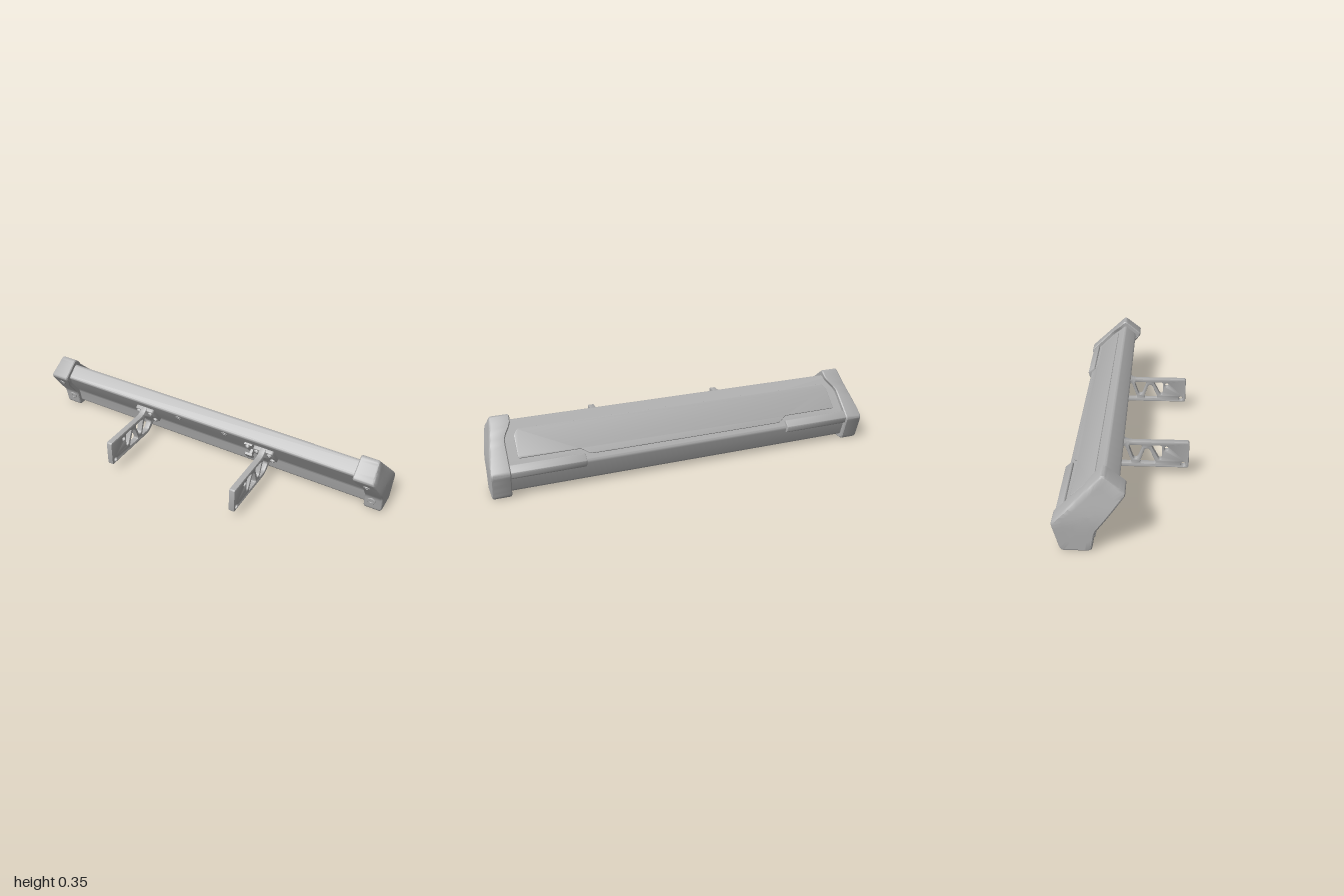
import * as THREE from 'three';
import { toCreasedNormals } from 'three/addons/utils/BufferGeometryUtils.js';

const metal = new THREE.MeshStandardMaterial({ color: 0xb0b0b0 });
metal.name = 'grey metal';

// Side profile of the end caps as (-z, y), clockwise
const CAP = [[-0.021, 0.27], [0.08, 0.353], [0.298, 0.138], [0.26, 0], [0.126, 0], [0.109, 0.095]];

// Move every edge of a clockwise polygon inwards by d
function inset(pts, d) {
  const n = pts.length;
  const edges = pts.map((p, i) => {
    const q = pts[(i + 1) % n], l = Math.hypot(q[0] - p[0], q[1] - p[1]);
    const t = [(q[0] - p[0]) / l, (q[1] - p[1]) / l];
    return { t, p: [p[0] + t[1] * d, p[1] - t[0] * d] };
  });
  return edges.map((e, i) => {
    const f = edges[(i + n - 1) % n];
    const k = ((e.p[0] - f.p[0]) * e.t[1] - (e.p[1] - f.p[1]) * e.t[0]) / (f.t[0] * e.t[1] - f.t[1] * e.t[0]);
    return [f.p[0] + f.t[0] * k, f.p[1] + f.t[1] * k];
  });
}

// Round the corners; 'steps' subdivides the straight edges
function rounded(pts, r, steps = 1) {
  const out = [], n = pts.length;
  const toward = (p, q) => {
    const l = Math.hypot(q[0] - p[0], q[1] - p[1]), k = Math.min(r, l * 0.45) / l;
    return [p[0] + (q[0] - p[0]) * k, p[1] + (q[1] - p[1]) * k];
  };
  for (let i = 0; i < n; i++) {
    const p = pts[i], q = pts[(i + 1) % n], a = toward(p, pts[(i + n - 1) % n]), b = toward(p, q), c = toward(q, p);
    for (let k = 0; k <= 4; k++) {
      const t = k / 4, u = 1 - t;
      out.push([0, 1].map(j => u * u * a[j] + 2 * u * t * p[j] + t * t * b[j]));
    }
    for (let k = 1; k < steps; k++) out.push([0, 1].map(j => b[j] + (c[j] - b[j]) * k / steps));
  }
  return out;
}

const vecs = pts => pts.map(p => new THREE.Vector2(p[0], p[1]));

function extrude(shape, depth, bevel) {
  const g = new THREE.ExtrudeGeometry(shape, {
    depth: depth - 2 * bevel, bevelEnabled: bevel > 0, bevelSize: bevel, bevelThickness: bevel,
    bevelOffset: -bevel, bevelSegments: 2, curveSegments: 20,
  });
  return g.translate(0, 0, bevel);
}

// Extrude a (-z, y) shape along x from x0 to x1
function extrudeX(shape, x0, x1, bevel) {
  return toCreasedNormals(extrude(shape, x1 - x0, bevel).rotateY(Math.PI / 2).translate(x0, 0, 0), 0.5);
}

function add(parent, name, geometry, x = 0, y = 0, z = 0) {
  const m = new THREE.Mesh(geometry, metal);
  m.name = name;
  m.position.set(x, y, z);
  parent.add(m);
  return m;
}

// Group whose local z is the outward normal of a sloping face
function faceFrame(parent, name, x, y, z, tilt) {
  const g = new THREE.Group();
  g.name = name;
  g.position.set(x, y, z);
  g.rotation.x = tilt;
  parent.add(g);
  return g;
}

// Round bolt head with a hollow socket
function bolt(parent, name, r, h, x = 0, y = 0, z = 0) {
  const prof = [[0, h * 0.3], [r * 0.45, h * 0.3], [r * 0.5, h], [r * 0.85, h], [r, h * 0.6], [r, -0.004]];
  const g = new THREE.LatheGeometry(vecs(prof).reverse(), 20).rotateX(Math.PI / 2);
  add(parent, name, toCreasedNormals(g, 0.5), x, y, z);
}

// End cap lofted from rings: flared inner lip, bevelled rim and bowed outer face
function endCap(side) {
  const outer = p => 1 - 0.04 * THREE.MathUtils.smoothstep(p[1], 0.12, 0.37);
  const inner = p => 0.907 - 0.042 * THREE.MathUtils.smoothstep(0.807 * p[1] - 0.59 * p[0], 0.1, 0.205);
  const ring = d => rounded(inset(CAP, d), 0.016, 10);
  const scaled = k => ring(0.008).map(p => [0.14 + (p[0] - 0.14) * k, 0.17 + (p[1] - 0.17) * k]);
  const rings = [
    [ring(0.03), inner, 0], [ring(0.005), inner, 0], [ring(0), inner, 0.005], [ring(0), outer, -0.009],
    [ring(0.003), outer, -0.003], [ring(0.008), outer, 0],
    [scaled(0.75), outer, 0], [scaled(0.5), outer, 0], [scaled(0.25), outer, 0], [scaled(0.001), outer, 0],
  ];
  const pos = [], idx = [], n = rings[0][0].length;
  for (const [pts, fx, dx] of rings) for (const p of pts) pos.push(side * (fx(p) + dx), p[1], -p[0]);
  for (let r = 0; r < rings.length - 1; r++) for (let i = 0; i < n; i++) {
    const a = r * n + i, b = r * n + (i + 1) % n, c = a + n, d = b + n;
    if (side > 0) idx.push(a, d, b, a, c, d);
    else idx.push(a, b, d, a, d, c);
  }
  const g = new THREE.BufferGeometry();
  g.setAttribute('position', new THREE.Float32BufferAttribute(pos, 3));
  g.setIndex(idx);
  return toCreasedNormals(g, 0.5);
}

// Flat arm with lightening holes
function armShape() {
  const s = new THREE.Shape();
  s.moveTo(-0.285, 0.046);
  s.lineTo(0.03, 0.046);
  s.quadraticCurveTo(0.055, 0.048, 0.075, 0.066);
  s.lineTo(0.122, 0.1);
  s.lineTo(0.042, 0.215);
  s.lineTo(0.024, 0.203);
  s.quadraticCurveTo(0.005, 0.187, -0.025, 0.187);
  s.lineTo(-0.285, 0.187);
  s.quadraticCurveTo(-0.297, 0.187, -0.297, 0.175);
  s.lineTo(-0.297, 0.058);
  s.quadraticCurveTo(-0.297, 0.046, -0.285, 0.046);
  const windows = [
    [[-0.165, 0.167], [-0.11, 0.167], [-0.15, 0.089], [-0.165, 0.089]],
    [[-0.101, 0.15], [-0.082, 0.15], [-0.053, 0.067], [-0.137, 0.067]],
    [[-0.073, 0.167], [0.001, 0.167], [-0.025, 0.09], [-0.044, 0.09]],
    [[0.017, 0.162], [0.034, 0.162], [0.078, 0.104], [0.045, 0.067], [-0.018, 0.067]],
  ];
  for (const w of windows) s.holes.push(new THREE.Path(vecs(rounded(w, 0.014))));
  for (const [a, y] of [[-0.186, 0.15], [-0.27, 0.066]]) {
    s.holes.push(new THREE.Path().absarc(a, y, 0.0115, 0, Math.PI * 2, true));
  }
  return s;
}

export function createModel() {
  const model = new THREE.Group();
  model.name = 'bumperBar';
  const FRONT = 0.631, BACK = -2.352;

  // Main beam
  const beam = new THREE.Shape(vecs(rounded(inset(CAP, 0.022), 0.014)));
  add(model, 'beam', extrudeX(beam, -0.93, 0.93, 0));

  // Raised panel on the sloping back
  const half = [[0.84, 0], [0.86, 0.03], [0.86, 0.151], [0.56, 0.151], [0.515, 0.184]];
  const outline = [...half, ...half.map(([x, y]) => [-x, y]).reverse()];
  const back = faceFrame(model, 'backFace', 0, 0.283, -0.118, BACK);
  add(back, 'backPanel', toCreasedNormals(extrude(new THREE.Shape(vecs(rounded(outline, 0.012))), 0.011, 0.004), 0.5), 0, 0, -0.005);

  // Corner pads along the rear edge
  const padPts = [[0.245, 0.157], [0.255, 0.167], [0.289, 0.138], [0.28, 0.105], [0.26, 0.098], [0.24, 0.14]];
  const pad = new THREE.Shape(vecs(rounded(padPts, 0.007)));

  const arm = armShape();
  for (const s of [-1, 1]) {
    const side = s > 0 ? 'left' : 'right';
    add(model, side + 'EndCap', endCap(s));
    add(model, side + 'RearPad', extrudeX(pad, s > 0 ? 0.545 : -0.92, s > 0 ? 0.92 : -0.545, 0.005));

    // Cap bolts and beam bolt
    bolt(faceFrame(model, side + 'UpperCapBolt', s * 0.932, 0.21, -0.024, FRONT), 'boltHead', 0.018, 0.005);
    bolt(faceFrame(model, side + 'LowerCapBolt', s * 0.945, 0.062, -0.115, 0.176), 'boltHead', 0.022, 0.005);
    bolt(faceFrame(model, side + 'BeamBolt', s * 0.142, 0.228, -0.038, FRONT), 'boltHead', 0.018, 0.005);

    // Support arm with its bolted flange
    add(model, side + 'Arm', extrudeX(arm, s * 0.368 - 0.016, s * 0.368 + 0.016, 0.004));
    const mount = faceFrame(model, side + 'Mount', s * 0.368, 0.162, -0.0875, FRONT);
    const plate = rounded([[-0.057, 0.065], [0.057, 0.065], [0.057, -0.065], [-0.057, -0.065]], 0.014);
    add(mount, 'flange', toCreasedNormals(extrude(new THREE.Shape(vecs(plate)), 0.026, 0.003), 0.5), 0, 0, -0.005);
    for (const x of [-0.037, 0.037]) for (const y of [-0.042, 0.042]) {
      bolt(mount, 'flangeBolt', 0.014, 0.01, x, y, 0.021);
    }
  }

  // Small side bracket beside the left arm
  const bracket = faceFrame(model, 'sideBracket', 0.279, 0.162, -0.0875, FRONT);
  add(bracket, 'bracketPlate', new THREE.BoxGeometry(0.045, 0.12, 0.016), 0, 0, 0.004);
  add(bracket, 'bracketPost', new THREE.BoxGeometry(0.014, 0.03, 0.04), 0.012, -0.01, 0.024);
  add(bracket, 'bracketTab', new THREE.BoxGeometry(0.04, 0.042, 0.012), 0.005, -0.01, 0.044);
  for (const y of [-0.045, 0.045]) bolt(bracket, 'bracketBolt', 0.012, 0.01, -0.004, y, 0.012);

  return model;
}
